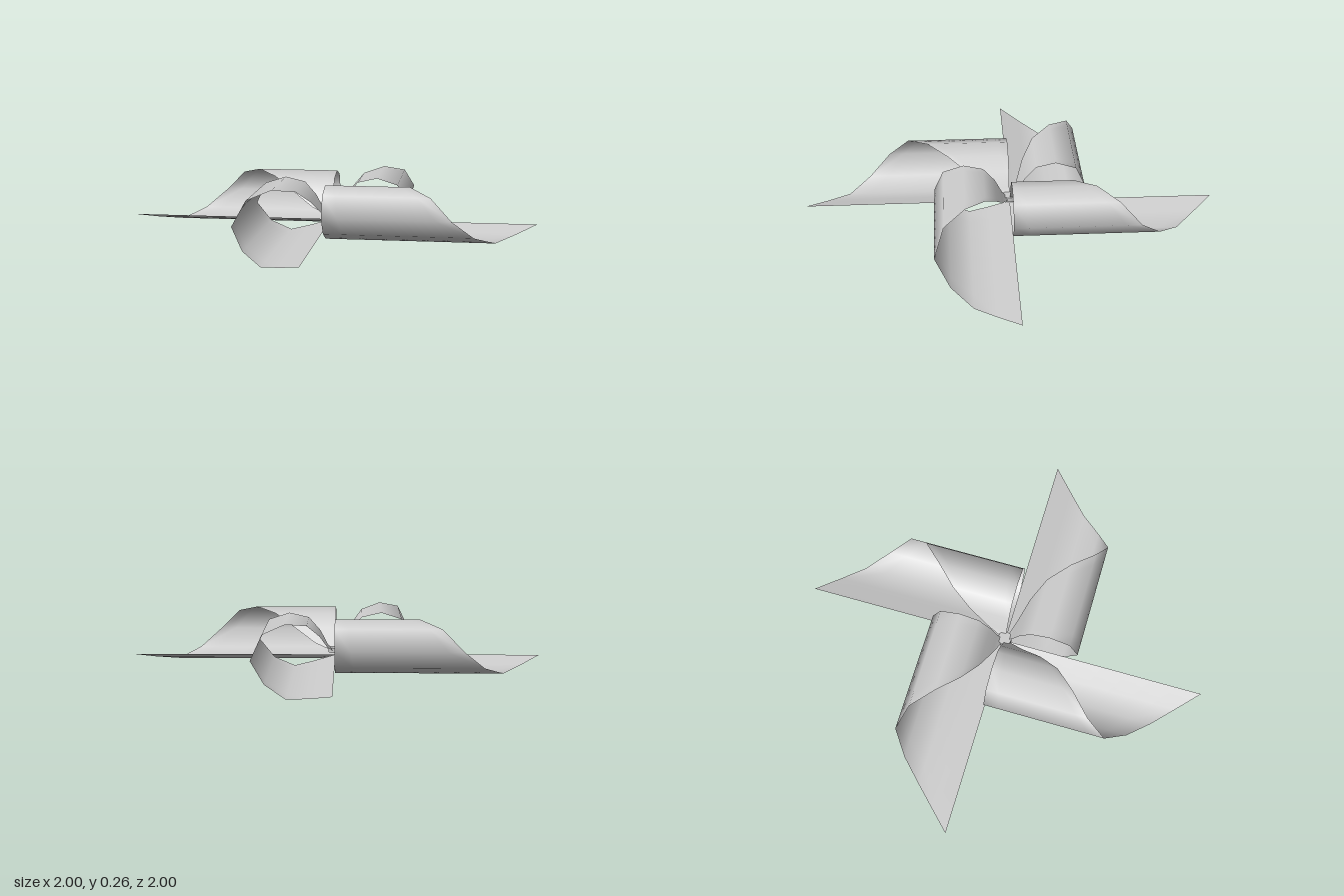
import * as THREE from 'three';

// Cross-section of the curled sheet as [z, y], from the flat edge round to the pinned tip.
const PROFILE = [
  [0, 0.055], [0.1, 0.025], [0.2, 0], [0.3, 0.043], [0.37, 0.13], [0.325, 0.23],
  [0.225, 0.262], [0.13, 0.24], [0.073, 0.175], [0.037, 0.105], [0, 0.066],
];
const COLUMNS = 8;

// Triangular paper sheet: its length shrinks evenly to a point as it curls over.
function bladeGeometry() {
  const positions = [], index = [];
  const last = PROFILE.length - 1;
  PROFILE.forEach(([z, y], i) => {
    const length = 1 - i / last;
    for (let j = 0; j <= COLUMNS; j++) positions.push(length * j / COLUMNS, y, z);
  });
  const row = COLUMNS + 1;
  for (let i = 0; i < last; i++) {
    for (let j = 0; j < COLUMNS; j++) {
      const a = i * row + j, b = a + 1, c = a + row, d = c + 1;
      index.push(a, c, b);
      if (i < last - 1) index.push(b, c, d); // the last strip ends in the tip
    }
  }
  const geometry = new THREE.BufferGeometry();
  geometry.setAttribute('position', new THREE.Float32BufferAttribute(positions, 3));
  geometry.setIndex(index);
  geometry.computeVertexNormals();
  return geometry;
}

export function createModel() {
  const group = new THREE.Group();
  group.name = 'pinwheel';

  // Four identical blades, a quarter turn apart
  const paper = new THREE.MeshStandardMaterial({ color: 0xcccccc, side: THREE.DoubleSide });
  const geometry = bladeGeometry();
  for (let k = 0; k < 4; k++) {
    const blade = new THREE.Mesh(geometry, paper);
    blade.name = `blade${k + 1}`;
    blade.rotation.y = k * Math.PI / 2;
    group.add(blade);
  }

  // Small pin head holding the tips at the centre
  const pin = new THREE.Mesh(
    new THREE.CylinderGeometry(0.034, 0.034, 0.024, 24),
    new THREE.MeshStandardMaterial({ color: 0xcccccc }),
  );
  pin.name = 'centrePin';
  pin.position.y = 0.079;
  group.add(pin);

  return group;
}
